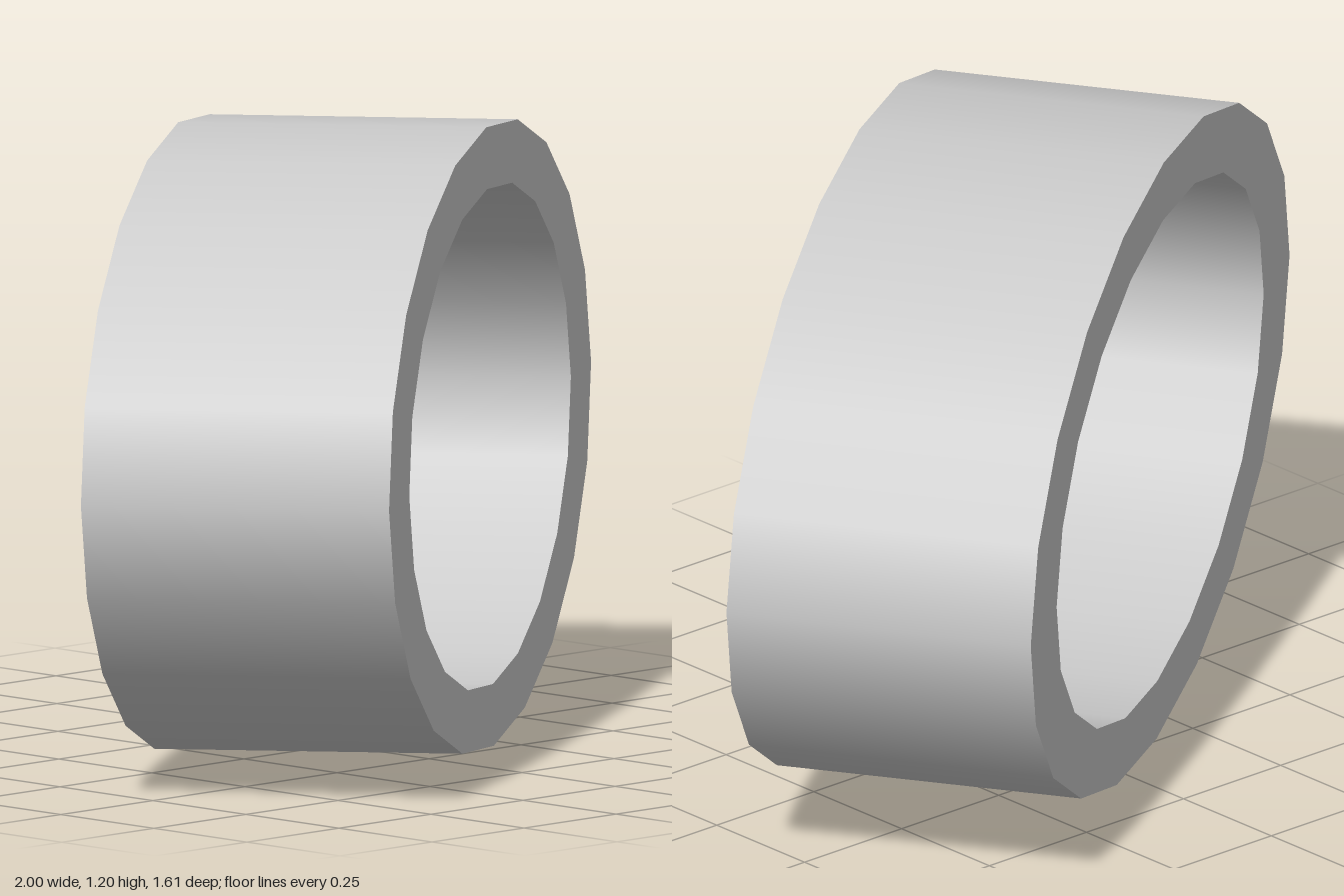
import * as THREE from 'three';
import { mergeGeometries } from 'three/addons/utils/BufferGeometryUtils.js';

const SIDES = 20;
const OUTER = 1, INNER = 0.8; // half widths
const HALF_DEPTH = 0.3;
const SQUASH = 0.597; // height / width of the oval

export function createModel() {
  const group = new THREE.Group();
  group.name = 'ovalRing';

  // Rectangular section; each edge is turned separately so the rims stay sharp
  const section = [
    [OUTER, -HALF_DEPTH], [OUTER, HALF_DEPTH], [INNER, HALF_DEPTH], [INNER, -HALF_DEPTH],
  ].map(([r, h]) => new THREE.Vector2(r, h));
  const walls = section.map((p, i) =>
    new THREE.LatheGeometry([p, section[(i + 1) % section.length]], SIDES));

  // Stand the ring upright and flatten it to an oval
  const geometry = mergeGeometries(walls);
  geometry.rotateX(Math.PI / 2);
  geometry.scale(1, SQUASH, 1);

  const ring = new THREE.Mesh(geometry, new THREE.MeshStandardMaterial({ color: 0xcccccc }));
  ring.name = 'ring';
  // Turned to one side, with a slight backward lean
  ring.rotation.set(-0.013, 0.586, -0.004, 'YXZ');
  ring.position.y = 0.602;
  group.add(ring);
  return group;
}
